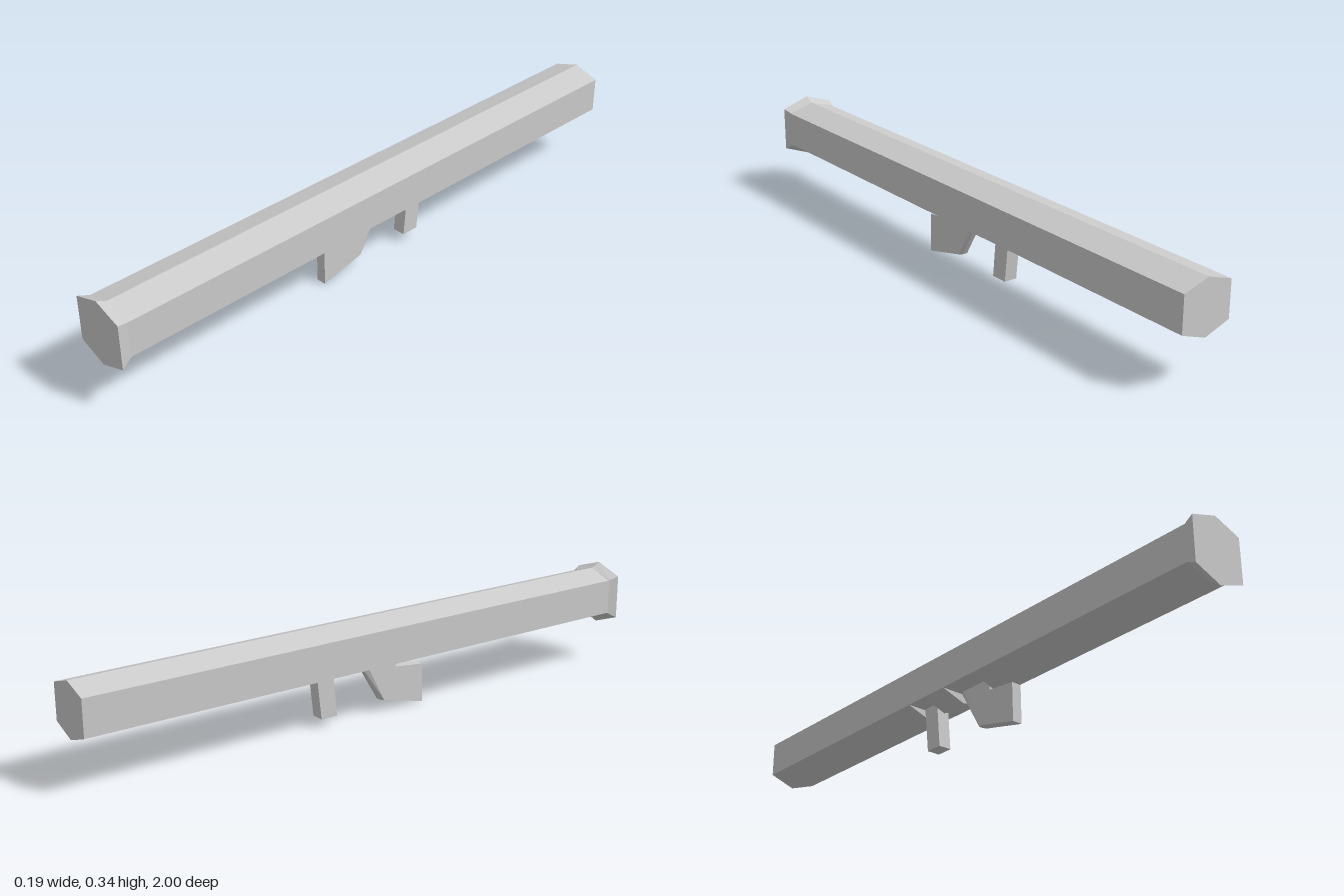
import * as THREE from 'three';

const material = new THREE.MeshStandardMaterial({ color: 0xcccccc, flatShading: true });

// Straight prism of a closed outline, from z0 to z1
function prism(points, z0, z1) {
  const shape = new THREE.Shape(points.map(([x, y]) => new THREE.Vector2(x, y)));
  const geometry = new THREE.ExtrudeGeometry(shape, { depth: z1 - z0, bevelEnabled: false });
  return geometry.translate(0, 0, z0);
}

// Side profile given as [z, y], extruded across x
function sidePrism(points, halfWidth) {
  return prism(points, -halfWidth, halfWidth).rotateY(-Math.PI / 2);
}

// Move every vertex by a rule
function reshape(geometry, rule) {
  const position = geometry.attributes.position;
  const v = new THREE.Vector3();
  for (let i = 0; i < position.count; i++) {
    rule(v.fromBufferAttribute(position, i));
    position.setXYZ(i, v.x, v.y, v.z);
  }
  geometry.computeVertexNormals();
  return geometry;
}

// Tall hexagon with points at top and bottom
function hexagon(halfWidth, bottom, lower, upper, top) {
  return [[0, bottom], [halfWidth, lower], [halfWidth, upper],
    [0, top], [-halfWidth, upper], [-halfWidth, lower]];
}

export function createModel() {
  const group = new THREE.Group();
  const add = (name, geometry) => {
    const mesh = new THREE.Mesh(geometry, material);
    mesh.name = name;
    group.add(mesh);
  };

  // Tube, with its lower ridge cut flat where the two grips attach
  const full = hexagon(0.085, 0.147, 0.177, 0.292, 0.319);
  const cut = full.slice(1);
  const segments = [
    ['rearTube', full, -1, -0.21],
    ['rearGripRecess', cut, -0.21, -0.137],
    ['middleTube', full, -0.137, -0.04],
    ['frontGripRecess', cut, -0.04, 0.1],
    ['frontTube', full, 0.1, 0.966],
  ];
  for (const [name, outline, z0, z1] of segments) add(name, prism(outline, z0, z1));

  // Flared muzzle, narrowing to the tube at its back
  const flare = prism(hexagon(0.094, 0.122, 0.157, 0.303, 0.335), 0.966, 1);
  add('muzzleFlare', reshape(flare, (v) => {
    if (v.z > 0.98) return;
    v.x *= 0.904;
    v.y = 0.233 + (v.y - 0.2285) * 0.805;
  }));

  // Forward grip block
  add('frontGrip', sidePrism([
    [0.206, 0], [0.204, 0.128], [0.1, 0.139], [0.1, 0.178],
    [-0.02, 0.178], [0.054, 0.036],
  ], 0.017));

  // Tapered back edge of the forward grip
  const backEdge = sidePrism([[0.054, 0.036], [-0.02, 0.178], [-0.04, 0.178], [0.043, 0.038]], 0.017);
  add('frontGripBackEdge', reshape(backEdge, (v) => {
    const isRear = Math.abs(v.z + 0.04) < 0.005 || Math.abs(v.z - 0.043) < 0.005;
    if (isRear) v.x *= 0.5;
  }));

  // Slanted rear grip
  add('rearGrip', sidePrism([
    [-0.132, 0.028], [-0.146, 0.178], [-0.206, 0.178], [-0.19, 0.028],
  ], 0.022));

  return group;
}
